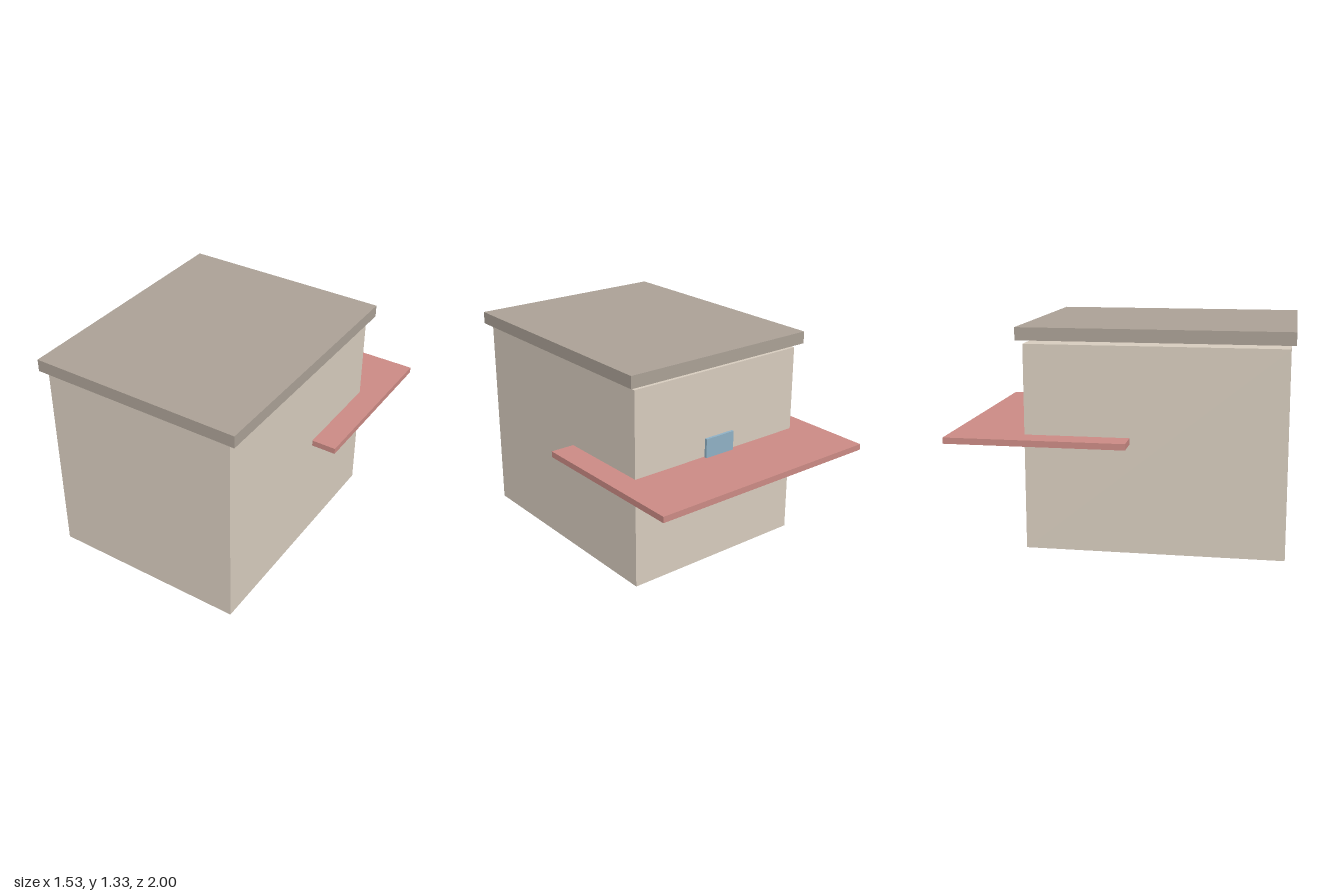
import * as THREE from 'three';

// Box given by its extents on each axis
function block(name, color, [x0, x1], [y0, y1], [z0, z1]) {
  const mesh = new THREE.Mesh(
    new THREE.BoxGeometry(x1 - x0, y1 - y0, z1 - z0),
    new THREE.MeshStandardMaterial({ color })
  );
  mesh.position.set((x0 + x1) / 2, (y0 + y1) / 2, (z0 + z1) / 2);
  mesh.name = name;
  return mesh;
}

export function createModel() {
  const group = new THREE.Group();
  group.name = 'kiosk';
  group.add(
    // Main building volume
    block('walls', 0xd6cbbd, [-0.61, 0.61], [0, 1.225], [-0.555, 0.972]),
    // Overhanging flat roof, raised slightly off the walls
    block('roof', 0xaaa095, [-0.655, 0.655], [1.25, 1.325], [-0.588, 1]),
    // Canopy slab wrapping the back and part of both sides
    block('canopy', 0xca8a84, [-0.763, 0.763], [0.655, 0.692], [-1, 0.068]),
    // Small panel set just off the back wall
    block('backPanel', 0x8fb0c4, [-0.105, 0.105], [0.54, 0.812], [-0.58, -0.563])
  );
  return group;
}
